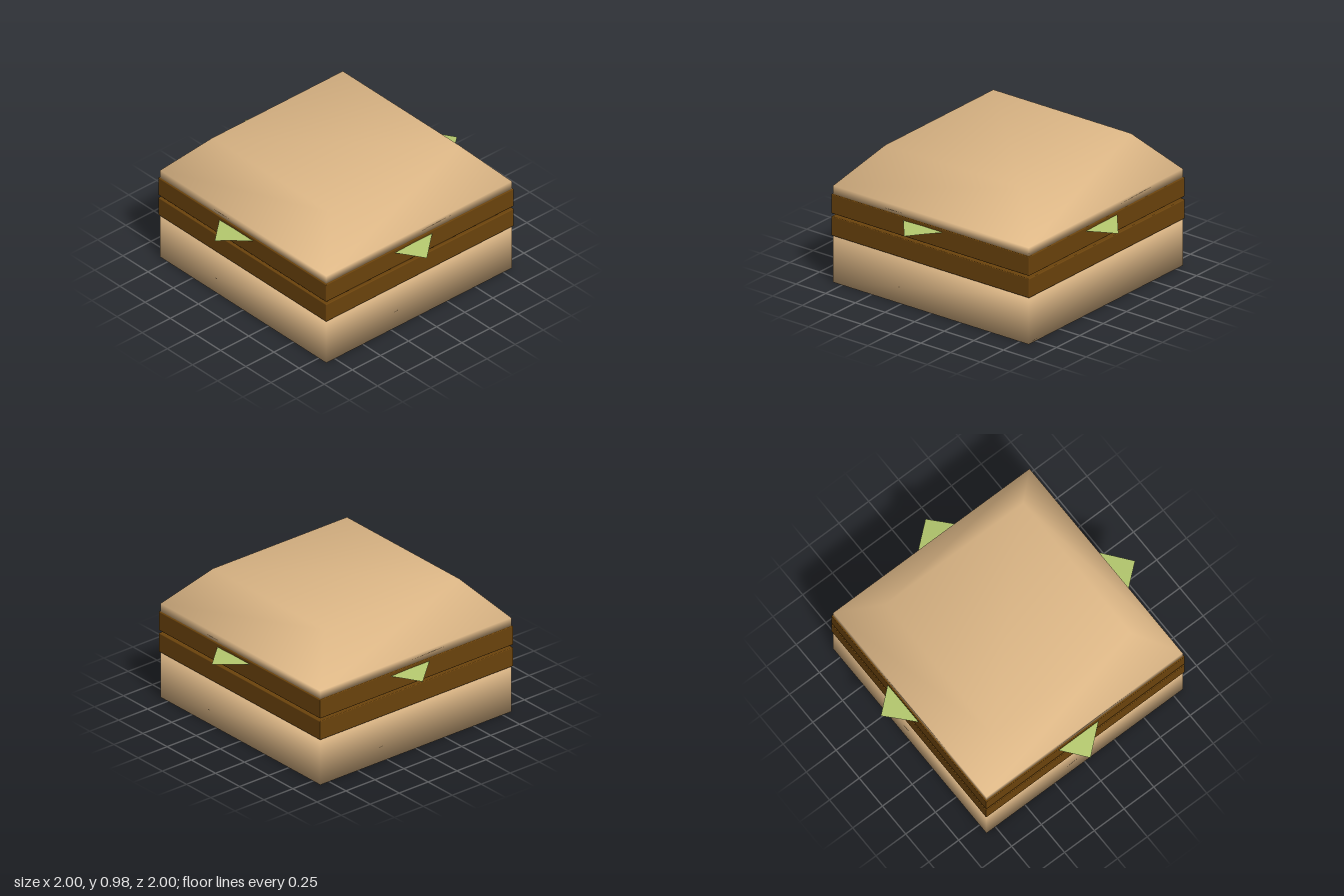
import * as THREE from 'three';
import { mergeVertices } from 'three/addons/utils/BufferGeometryUtils.js';
import { RoundedBoxGeometry } from 'three/addons/geometries/RoundedBoxGeometry.js';

const bread = new THREE.MeshStandardMaterial({ color: 0xdeb887 });
const meat = new THREE.MeshStandardMaterial({ color: 0x6b430c });
const leaf = new THREE.MeshStandardMaterial({ color: 0xb4c86e, side: THREE.DoubleSide });

// Square block with a sloped upper part and soft, shared normals
function bunGeometry(half, height, topHalf = half, shoulder = height) {
  const rows = shoulder < height ? 2 : 1;
  let geo = new THREE.BoxGeometry(2 * half, height, 2 * half, 1, rows, 1);
  geo.translate(0, height / 2, 0);
  const p = geo.attributes.position;
  for (let i = 0; i < p.count; i++) {
    const y = p.getY(i);
    if (y > height - 1e-4) {
      p.setX(i, Math.sign(p.getX(i)) * topHalf);
      p.setZ(i, Math.sign(p.getZ(i)) * topHalf);
    } else if (y > 1e-4) {
      p.setY(i, shoulder);
    }
  }
  geo.deleteAttribute('normal');
  geo.deleteAttribute('uv');
  geo = mergeVertices(geo);
  geo.computeVertexNormals();
  return geo;
}

// Thin square sheet whose corners droop away from the centre
function lettuceGeometry(half, droop) {
  const geo = new THREE.PlaneGeometry(2 * half, 2 * half, 12, 12);
  geo.rotateX(-Math.PI / 2);
  const p = geo.attributes.position;
  for (let i = 0; i < p.count; i++) {
    p.setY(i, -droop * (p.getX(i) ** 2 + p.getZ(i) ** 2));
  }
  geo.computeVertexNormals();
  return geo;
}

export function createModel() {
  const group = new THREE.Group();
  const add = (name, geometry, material, y, turn = 0) => {
    const mesh = new THREE.Mesh(geometry, material);
    mesh.name = name;
    mesh.position.y = y;
    mesh.rotation.y = turn;
    group.add(mesh);
  };

  // Buns
  add('bottomBun', bunGeometry(0.825, 0.345), bread, 0);
  add('topBun', bunGeometry(0.825, 0.335, 0.58, 0.06), bread, 0.64);

  // Patties
  const patty = new RoundedBoxGeometry(1.67, 0.14, 1.67, 2, 0.006);
  add('lowerPatty', patty, meat, 0.41);
  add('upperPatty', patty, meat, 0.57);

  // Lettuce: one sheet between the patties, one turned so its corners poke out
  add('lowerLettuce', lettuceGeometry(0.71, 0.022), leaf, 0.505);
  add('upperLettuce', lettuceGeometry(0.71, 0.08), leaf, 0.675, THREE.MathUtils.degToRad(40));

  return group;
}
